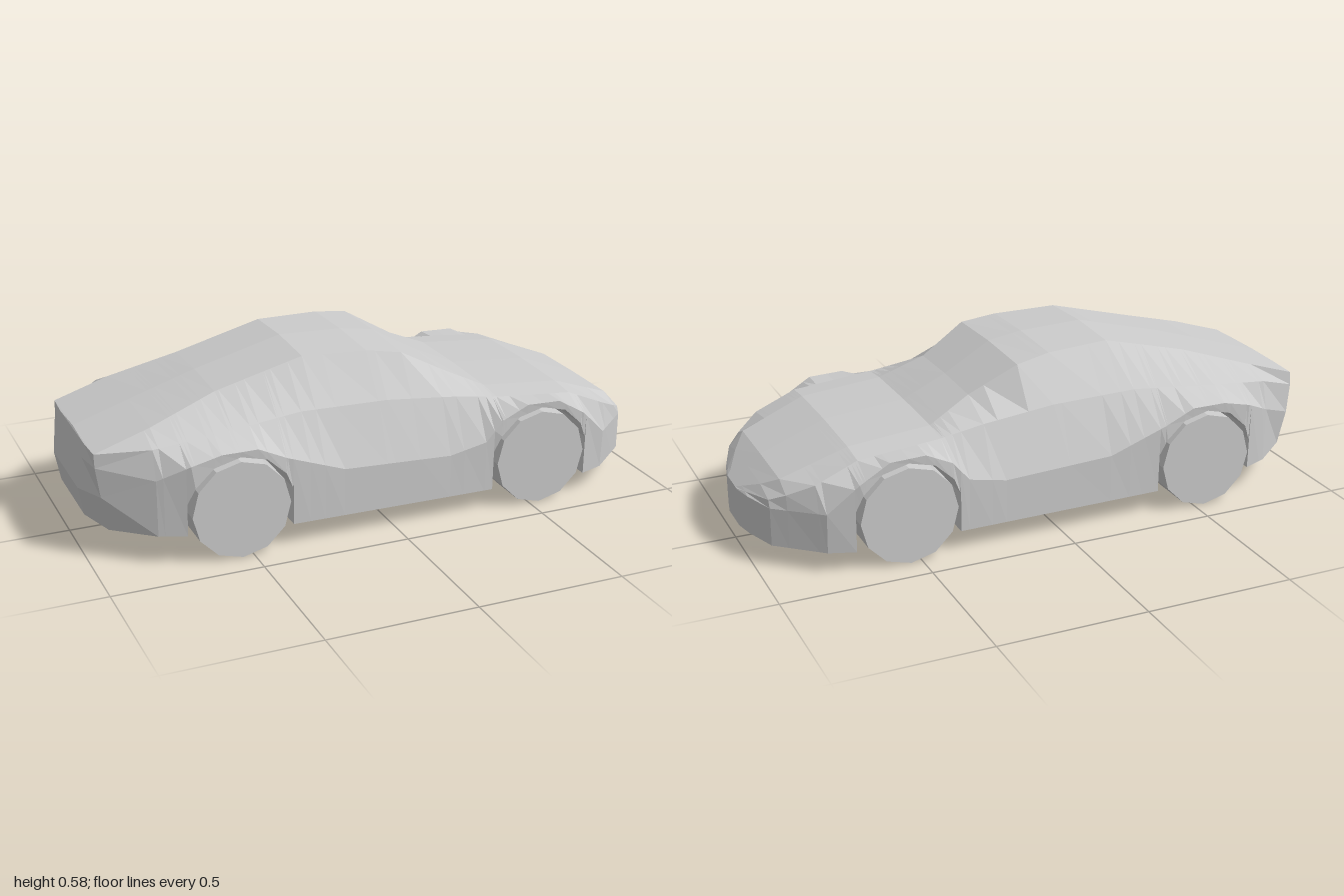
import * as THREE from 'three';

const WHEEL_X = 0.537, WHEEL_R = 0.165, ARCH_R = 0.181, ARCH_HALF = 0.176;

// Wheel opening along the lower edge: vertical wall, polygonal arc, vertical wall
function arch(cx, before, after, z0, z1) {
  const pts = [[cx - ARCH_HALF - 0.001, before, z0]];
  for (const f of [-1, -0.86, -0.5, 0, 0.5, 0.86, 1]) {
    const dx = f * ARCH_HALF;
    const z = f < -0.9 ? z0 : f > 0.9 ? z1 : 0.41;
    pts.push([cx + dx, WHEEL_R + Math.sqrt(ARCH_R ** 2 - dx ** 2), z]);
  }
  pts.push([cx + ARCH_HALF + 0.001, after, z1]);
  return pts;
}

// Lengthwise guide lines [x, y, half width], tail to nose
const centre = [[-0.965, 0.37, 0], [-0.78, 0.43, 0], [-0.55, 0.503, 0], [-0.25, 0.582, 0], [-0.03, 0.574, 0],
  [0.09, 0.555, 0], [0.25, 0.462, 0], [0.4, 0.392, 0], [0.68, 0.367, 0], [0.9, 0.282, 0], [1, 0.2, 0]];
const roofEdge = [[-0.965, 0.365, 0.252], [-0.78, 0.425, 0.25], [-0.55, 0.495, 0.203], [-0.25, 0.573, 0.205],
  [-0.03, 0.567, 0.222], [0.09, 0.548, 0.237], [0.25, 0.457, 0.203], [0.4, 0.388, 0.24], [0.68, 0.362, 0.24],
  [0.9, 0.28, 0.215], [0.945, 0.245, 0.15], [1, 0.2, 0.04]];
const shoulder = [[-0.965, 0.32, 0.257], [-0.8, 0.385, 0.335], [-0.6, 0.405, 0.34], [-0.3, 0.43, 0.322],
  [0, 0.425, 0.326], [0.25, 0.4, 0.33], [0.4, 0.378, 0.335], [0.68, 0.352, 0.335], [0.82, 0.292, 0.335],
  [0.9, 0.25, 0.28], [0.945, 0.225, 0.235], [1, 0.2, 0.055]];
const belly = [[-0.965, 0.22, 0.262], [-0.8, 0.29, 0.362], [-0.7, 0.34, 0.41], [-0.6, 0.364, 0.412],
  [-0.48, 0.364, 0.412], [-0.38, 0.315, 0.407], [-0.18, 0.24, 0.401], [0.2, 0.222, 0.4], [0.33, 0.25, 0.404],
  [0.39, 0.32, 0.408], [0.48, 0.364, 0.412], [0.6, 0.36, 0.412], [0.7, 0.3, 0.41], [0.8, 0.205, 0.378],
  [0.945, 0.2, 0.247], [0.985, 0.2, 0.13], [1, 0.198, 0.06]];
const sill = [[-0.965, 0.1, 0.25], [-0.8, 0.1, 0.36],
  ...arch(-WHEEL_X, 0.1, 0.078, 0.395, 0.4), ...arch(WHEEL_X, 0.072, 0.07, 0.4, 0.4),
  [0.8, 0.07, 0.37], [0.945, 0.07, 0.245], [0.985, 0.07, 0.13], [1, 0.07, 0.06]];
const guides = [centre, roofEdge, shoulder, belly, sill];

function sample(line, x) {
  let i = 0;
  while (i < line.length - 2 && x > line[i + 1][0]) i++;
  const [a, b] = [line[i], line[i + 1]];
  const t = (x - a[0]) / (b[0] - a[0]);
  return [x, a[1] + (b[1] - a[1]) * t, a[2] + (b[2] - a[2]) * t];
}

function bodyGeometry() {
  const xs = [...new Set(guides.flatMap(g => g.map(p => p[0])))].sort((a, b) => a - b);
  const halves = xs.map(x => guides.map(g => sample(g, x)));
  // Tail leans forward toward the bottom and bulges at its middle
  halves[0][3][0] = -0.952;
  halves[0][4][0] = -0.93;
  const tailX = [-0.966, -0.97, -0.98, -1, -0.982];
  halves.unshift(halves[0].map(([, y, z], k) => [tailX[k], k === 4 ? 0.12 : y, z * 0.6]));

  // Mirror each half section into a closed ring
  const rings = halves.map(h => [...h, ...h.slice(1).reverse().map(([x, y, z]) => [x, y, -z])]);
  const n = rings[0].length, index = [];
  const id = (i, k) => i * n + (k % n);
  for (let i = 0; i < rings.length - 1; i++) {
    for (let k = 0; k < n; k++) {
      const a = id(i, k), b = id(i, k + 1), c = id(i + 1, k), d = id(i + 1, k + 1);
      index.push(a, b, d, a, d, c);
    }
  }
  // Tail and nose caps, stitched left to right
  const last = rings.length - 1;
  for (let k = 0; k < guides.length - 1; k++) {
    const q = [k, k + 1, n - k - 1, n - k];
    const [a, b, c, d] = q.map(v => id(last, v));
    index.push(a, b, c, a, c, d);
    const [e, f, g, h] = q.map(v => id(0, v));
    index.push(e, g, f, e, h, g);
  }
  const geo = new THREE.BufferGeometry();
  geo.setAttribute('position', new THREE.Float32BufferAttribute(rings.flat(2), 3));
  geo.setIndex(index);
  const flat = geo.toNonIndexed();
  flat.computeVertexNormals();
  return flat;
}

export function createModel() {
  const car = new THREE.Group();
  car.name = 'car';
  const material = new THREE.MeshStandardMaterial({ color: 0xcccccc, flatShading: true });

  const body = new THREE.Mesh(bodyGeometry(), material);
  body.name = 'body';
  car.add(body);

  // Four plain twelve-sided wheels
  const wheelGeo = new THREE.CylinderGeometry(WHEEL_R, WHEEL_R, 0.148, 12).rotateX(Math.PI / 2);
  for (const [end, sx] of [['front', 1], ['rear', -1]]) {
    for (const [side, sz] of [['Left', -1], ['Right', 1]]) {
      const wheel = new THREE.Mesh(wheelGeo, material);
      wheel.name = `${end}${side}Wheel`;
      wheel.position.set(sx * WHEEL_X, WHEEL_R, sz * 0.336);
      car.add(wheel);
    }
  }
  return car;
}
